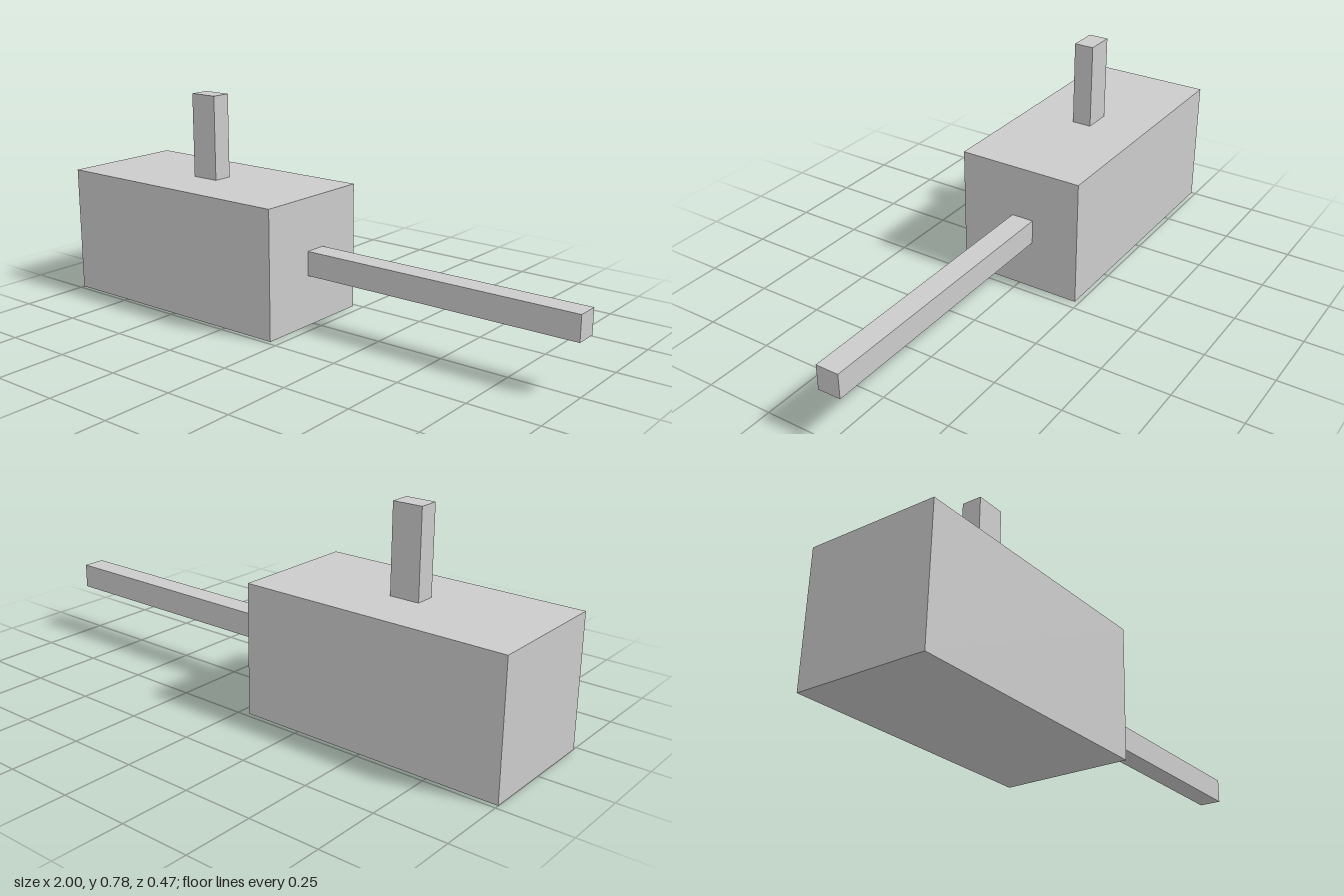
import * as THREE from 'three';

const material = new THREE.MeshStandardMaterial({ color: 0xcccccc });

// Box spanning two opposite corners
function block(name, min, max) {
  const size = max.map((v, i) => v - min[i]);
  const mesh = new THREE.Mesh(new THREE.BoxGeometry(...size), material);
  mesh.position.set(...max.map((v, i) => (v + min[i]) / 2));
  mesh.name = name;
  return mesh;
}

export function createModel() {
  const group = new THREE.Group();
  group.name = 'model';
  group.add(
    // Main housing resting on the ground
    block('body', [-1, 0, -0.234], [-0.036, 0.467, 0.234]),
    // Upright post on top of the housing
    block('post', [-0.571, 0.467, -0.036], [-0.463, 0.777, 0.037]),
    // Long horizontal bar, slightly off the centre line
    block('bar', [-0.036, 0.185, -0.054], [1, 0.274, 0.029]),
  );
  return group;
}
